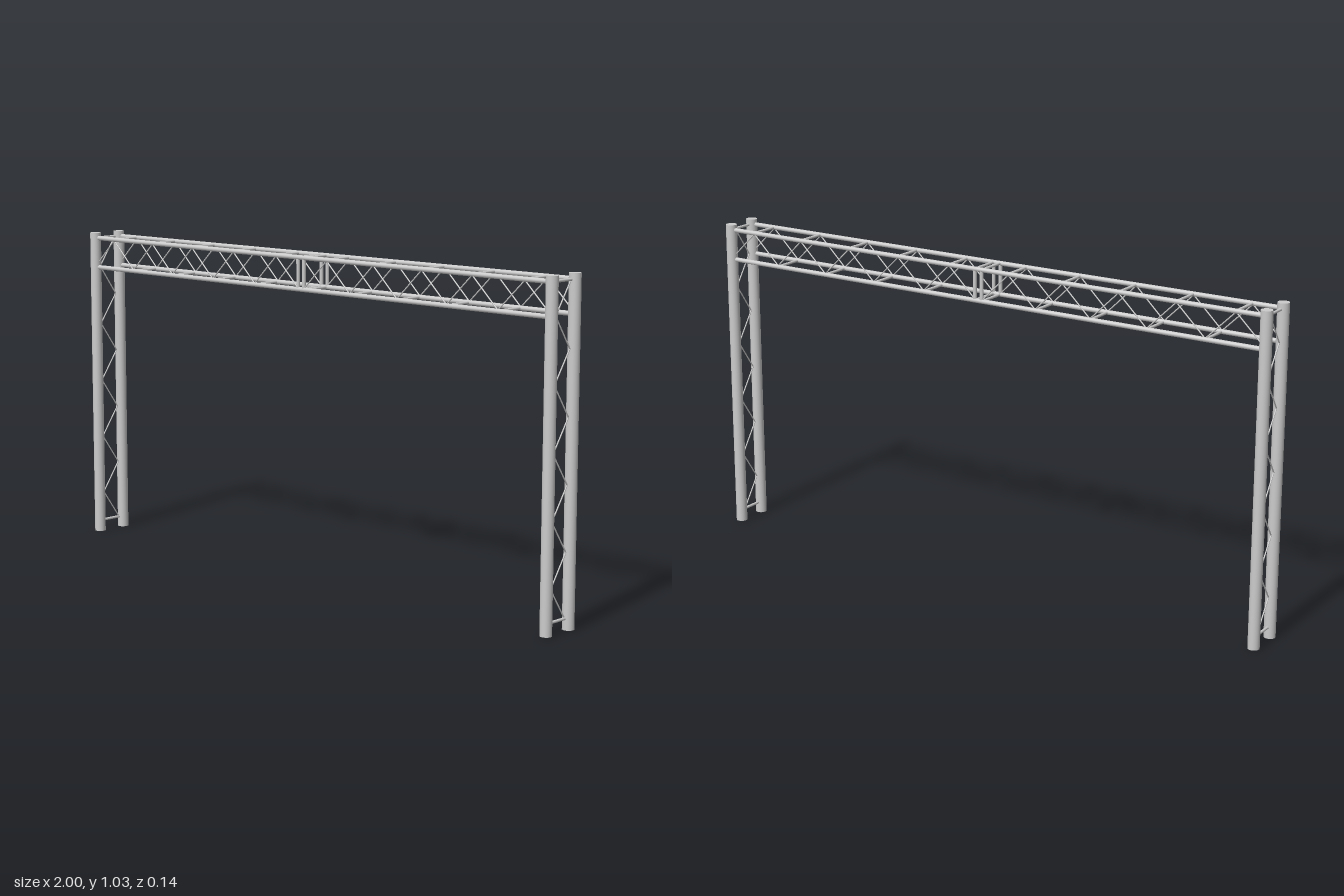
import * as THREE from 'three';

const POST_R = 0.0183, POST_X = 1 - POST_R, POST_Z = 0.0518, HEIGHT = 1.034;
const LOW = 0.917, HIGH = 1.016;      // chord heights
const MID = 0.0125;                   // half the gap at the central joint
const BAYS = 10;
const CHORD_R = 0.0075, RUNG_R = 0.0045, BRACE_R = 0.0021;

const material = new THREE.MeshStandardMaterial({ color: 0xcccccc });
const UP = new THREE.Vector3(0, 1, 0);

// Round bar between two points
function bar(parent, name, from, to, radius, sides = 12) {
  const a = new THREE.Vector3(...from), b = new THREE.Vector3(...to);
  const dir = b.clone().sub(a);
  const mesh = new THREE.Mesh(new THREE.CylinderGeometry(radius, radius, dir.length(), sides), material);
  mesh.name = name;
  mesh.position.copy(a).add(b).multiplyScalar(0.5);
  mesh.quaternion.setFromUnitVectors(UP, dir.normalize());
  parent.add(mesh);
}

// Leg: two posts joined by a zigzag lacing
function makeLeg(x) {
  const leg = new THREE.Group();
  leg.name = x > 0 ? 'leftLeg' : 'rightLeg';
  for (const z of [-POST_Z, POST_Z]) bar(leg, 'post', [x, 0, z], [x, HEIGHT, z], POST_R, 24);

  const inner = POST_Z - POST_R, bottom = 0.035, step = (HIGH - bottom) / BAYS;
  for (const y of [bottom, HIGH]) bar(leg, 'legRung', [x, y, -POST_Z], [x, y, POST_Z], RUNG_R);
  const node = i => [x, bottom + i * step, i % 2 ? inner : -inner];
  for (let i = 0; i < BAYS; i++) bar(leg, 'legBrace', node(i), node(i + 1), BRACE_R, 8);
  return leg;
}

// Half of the box truss, from the central joint out to a leg
function makeTrussHalf(side) {
  const half = new THREE.Group();
  half.name = side > 0 ? 'leftTruss' : 'rightTruss';
  const step = (POST_X - MID) / BAYS;
  const nodeX = i => side * (MID + i * step);
  const nodeY = i => (i % 2 ? HIGH - 0.003 : LOW + 0.003);

  for (const z of [-POST_Z, POST_Z]) {
    for (const y of [LOW, HIGH]) bar(half, 'chord', [0, y, z], [side * POST_X, y, z], CHORD_R);
    bar(half, 'jointUpright', [nodeX(0), LOW, z], [nodeX(0), HIGH, z], 0.006);
    for (let i = 0; i < BAYS; i++) {
      bar(half, 'trussBrace', [nodeX(i), nodeY(i), z], [nodeX(i + 1), nodeY(i + 1), z], BRACE_R, 8);
    }
  }

  // Rungs across the truss, on top at the peaks and below at the valleys
  for (let i = 0; i < BAYS; i++) {
    const y = i % 2 ? HIGH : LOW;
    bar(half, 'trussRung', [nodeX(i), y, -POST_Z], [nodeX(i), y, POST_Z], RUNG_R);
  }
  bar(half, 'jointRung', [nodeX(0), HIGH, -POST_Z], [nodeX(0), HIGH, POST_Z], RUNG_R);
  return half;
}

export function createModel() {
  const model = new THREE.Group();
  model.name = 'trussGantry';
  for (const side of [-1, 1]) model.add(makeLeg(side * POST_X), makeTrussHalf(side));
  return model;
}
